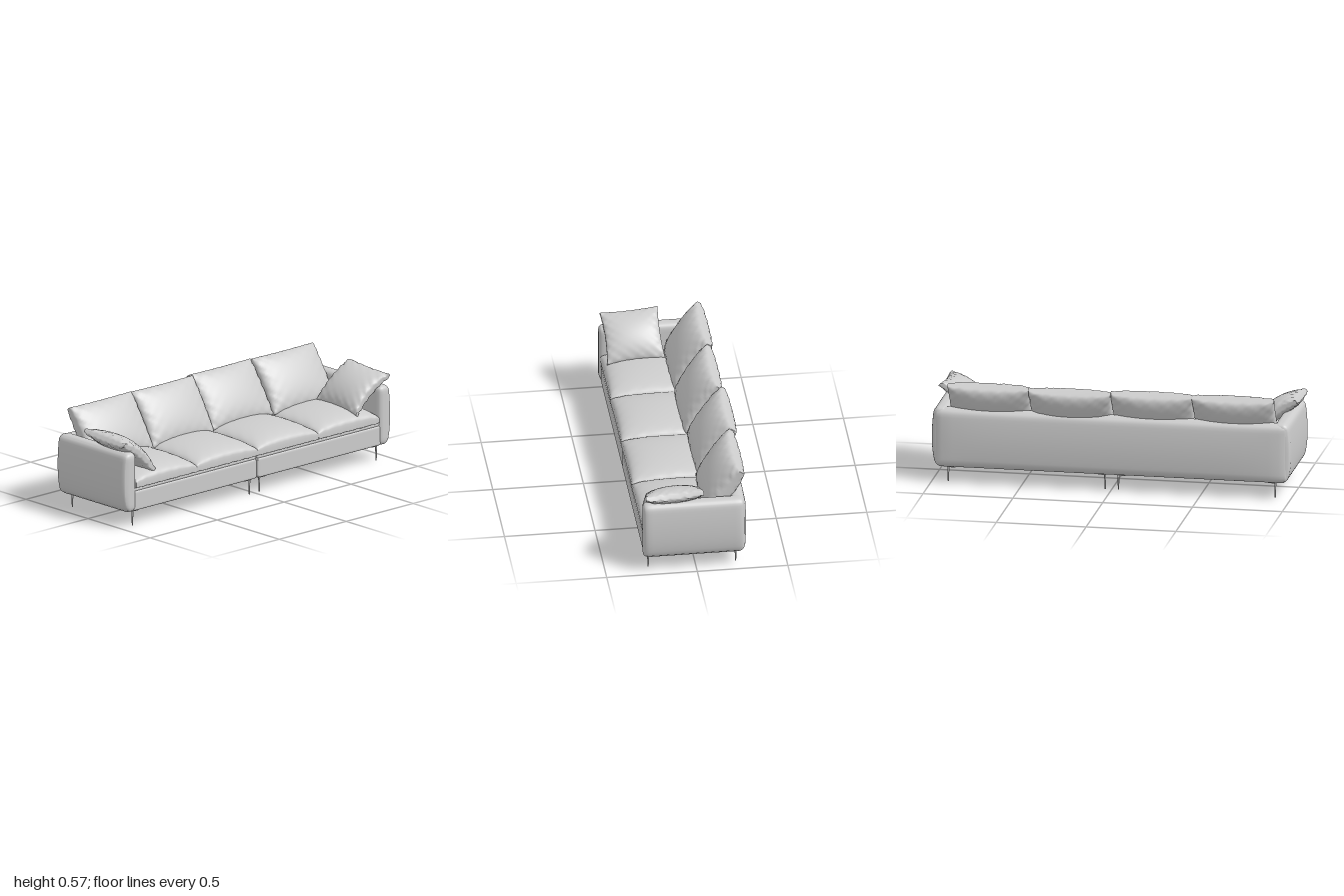
import * as THREE from 'three';
import { mergeVertices } from 'three/addons/utils/BufferGeometryUtils.js';

const fabric = new THREE.MeshStandardMaterial({ color: 0xcccccc });
fabric.name = 'light grey fabric';

// Unit box (-1..1) whose vertices are moved by a rule, then smoothed.
function moulded(nx, ny, nz, rule) {
  const geo = new THREE.BoxGeometry(2, 2, 2, nx, ny, nz);
  geo.deleteAttribute('uv');
  geo.deleteAttribute('normal');
  const pos = geo.attributes.position;
  const p = new THREE.Vector3();
  for (let i = 0; i < pos.count; i++) {
    p.fromBufferAttribute(pos, i);
    rule(p);
    pos.setXYZ(i, p.x, p.y, p.z);
  }
  const smooth = mergeVertices(geo, 1e-5);
  smooth.computeVertexNormals();
  return smooth;
}

// Upholstered block with rounded edges; bulge pushes chosen faces outward.
function softBox(min, max, r, bulge = () => {}) {
  const lo = new THREE.Vector3(...min);
  const hi = new THREE.Vector3(...max);
  const centre = lo.clone().add(hi).multiplyScalar(0.5);
  const half = hi.clone().sub(lo).multiplyScalar(0.5);
  const inner = half.clone().subScalar(r);
  const ease = (t) => Math.sin(t * Math.PI / 2);
  return moulded(20, 20, 20, (p) => {
    p.set(ease(p.x), ease(p.y), ease(p.z));
    const unit = p.clone();
    p.multiply(half);
    const core = p.clone().clamp(inner.clone().negate(), inner);
    p.sub(core).setLength(r).add(core).add(centre);
    bulge(p, unit);
  });
}

// Stuffed cushion lying in x/z, thickness along y, with soft creases at the seam.
function cushion({ w, d, top, bottom, edge = 0.008, pinch = 0.03, power = 0.4, arch = 0, crease = 0.002, seed = 0 }) {
  const ease = (t) => Math.sin(t * Math.PI / 2);
  return moulded(36, 2, 36, (p) => {
    const u = ease(p.x), v = ease(p.z), side = p.y;
    const fill = Math.pow(Math.max(0, (1 - u * u) * (1 - v * v)), power);
    const rim = Math.max(Math.abs(u), Math.abs(v)) ** 4;
    const wave = Math.sin(u * 17 + seed) * Math.sin(v * 15 + seed * 2) + 0.6 * Math.sin(u * 29 - v * 23 + seed);
    const height = side > 0 ? top : bottom;
    p.x = w / 2 * u * (1 - pinch * (1 - v * v));
    p.z = d / 2 * v * (1 - pinch * (1 - u * u));
    p.y = side * (edge + (height - edge) * fill) + crease * rim * wave - arch * u * u;
  });
}

export function createModel() {
  const model = new THREE.Group();
  model.name = 'sofa';
  const add = (name, geo, parent = model) => {
    const mesh = new THREE.Mesh(geo, fabric);
    mesh.name = name;
    parent.add(mesh);
    return mesh;
  };

  // Backrest panel, swelling to the rear
  add('backPanel', softBox([-0.985, 0.087, -0.272], [0.985, 0.423, -0.185], 0.04, (p, q) => {
    if (q.z < 0) p.z += 0.014 * q.z * (1 - q.y * q.y) * (1 - q.x ** 8);
  }));

  for (const s of [-1, 1]) {
    const name = s > 0 ? 'left' : 'right';

    // Arm, swelling to the outside and drawn in towards the bottom
    const x0 = s > 0 ? 0.905 : -0.986, x1 = s > 0 ? 0.986 : -0.905;
    add(name + 'Arm', softBox([x0, 0.086, -0.264], [x1, 0.426, 0.295], 0.032, (p, q) => {
      if (q.x * s > 0) p.x += s * Math.abs(q.x) * (0.014 * (1 - q.y * q.y) - 0.012 * Math.max(0, -q.y) ** 4);
    }));

    // Base half and the thin deck above it
    const a = s > 0 ? 0.003 : -0.925, b = s > 0 ? 0.925 : -0.003;
    add(name + 'Base', softBox([a, 0.088, -0.23], [b, 0.202, 0.287], 0.012));
    add(name + 'Deck', softBox([a, 0.198, -0.23], [b, 0.218, 0.282], 0.008));

    // Throw pillow draped over the arm
    const pillow = add(name + 'ThrowPillow', cushion({
      w: 0.305, d: 0.32, top: 0.055, bottom: 0.05, pinch: 0.06, power: 0.45, arch: 0.022, crease: 0.004, seed: 2 + s,
    }));
    pillow.position.set(s * 0.86, 0.408, 0.118);
    pillow.rotation.set(0.06, 0, s * 0.67);

    // Legs with L-shaped mounting brackets
    for (const x of [0.91, 0.037]) {
      for (const z of [0.26, -0.223]) {
        const leg = new THREE.Group();
        leg.name = name + (z > 0 ? 'FrontLeg' : 'BackLeg');
        leg.position.set(s * x, 0, z);
        model.add(leg);
        const tz = z > 0 ? -1 : 1, tx = (x > 0.5 ? -1 : 1) * s;
        add('post', new THREE.CylinderGeometry(0.006, 0.0032, 0.084, 12), leg).position.y = 0.042;
        add('bracketSide', new THREE.BoxGeometry(0.012, 0.006, 0.046), leg).position.set(0, 0.084, tz * 0.017);
        add('bracketFront', new THREE.BoxGeometry(0.046, 0.006, 0.012), leg).position.set(tx * 0.017, 0.084, 0);
      }
    }
  }

  // Four seat cushions and four reclining back cushions
  const backs = [
    { z: -0.166, y: 0.414, tilt: 1.0 },
    { z: -0.163, y: 0.412, tilt: 1.02 },
    { z: -0.18, y: 0.414, tilt: 0.98 },
    { z: -0.166, y: 0.416, tilt: 1.0 },
  ];
  backs.forEach((c, i) => {
    const x = (i - 1.5) * 0.453;
    const seat = add('seatCushion', cushion({
      w: 0.455, d: 0.5, top: 0.088, bottom: 0.02, edge: 0.012, pinch: 0.008, power: 0.32, crease: 0.0015, seed: i,
    }));
    seat.position.set(x, 0.232, 0.04);

    const back = add('backCushion', cushion({
      w: 0.457, d: 0.335, top: 0.075, bottom: 0.075, edge: 0.01, pinch: 0.02, power: 0.38, crease: 0.003, seed: i + 5,
    }));
    back.position.set(x, c.y, c.z);
    back.rotation.x = c.tilt;
  });

  return model;
}
